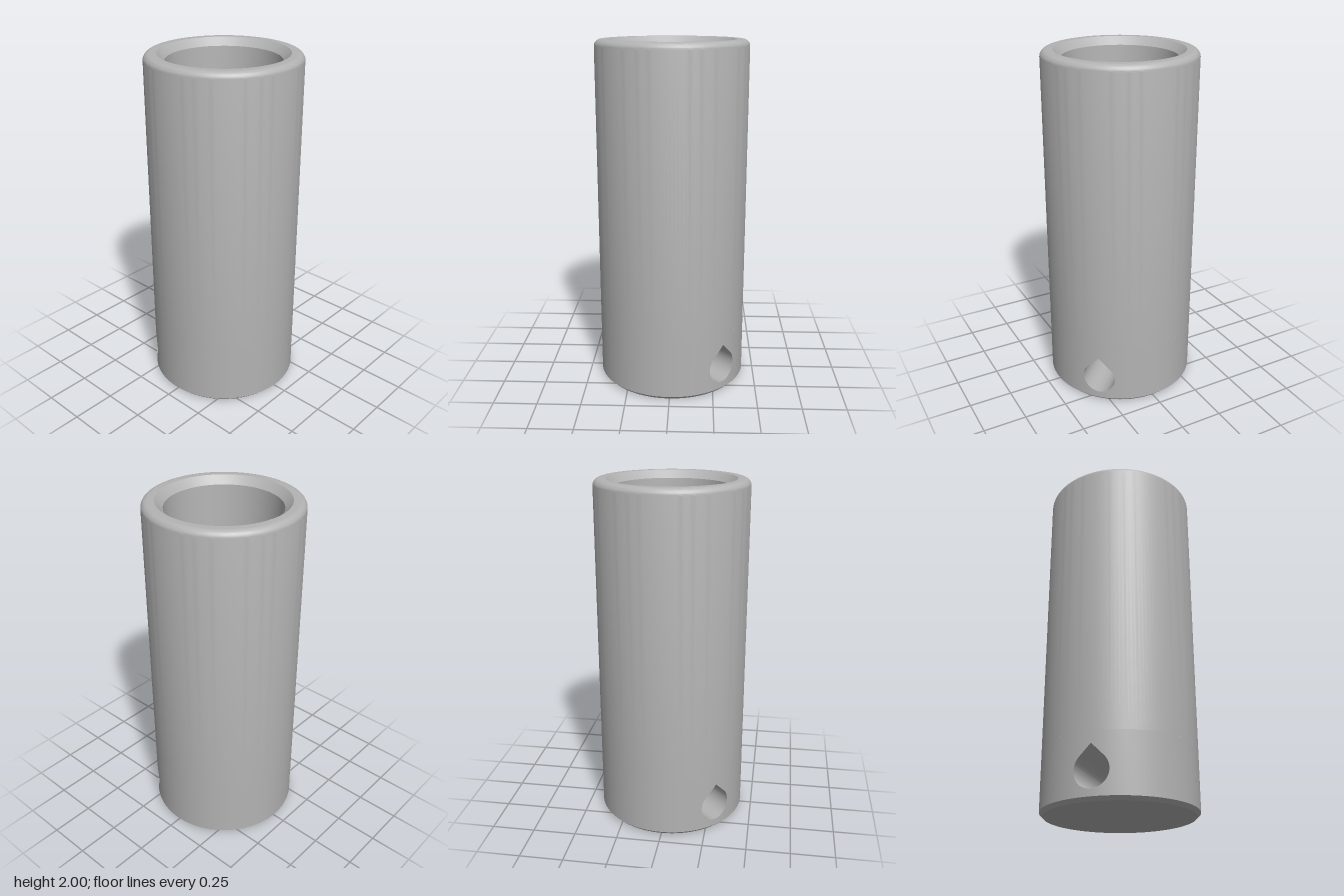
import * as THREE from 'three';
import { toCreasedNormals } from 'three/addons/utils/BufferGeometryUtils.js';

const R = 0.433;             // outer radius
const HOLE_Y = 0.155;        // centre height of the cross hole
const HOLE_R = 0.096;
const BAND = [0.02, 0.355];  // height range of the pierced band
const HALF = 0.45;           // half angle of each pierced patch
const CREASE = 0.5;

// Radius of the teardrop outline in direction a: round below, 45 degree roof above
function teardrop(a) {
  if (a > Math.PI / 4 && a <= Math.PI / 2) return HOLE_R / Math.cos(a - Math.PI / 4);
  if (a > Math.PI / 2 && a < Math.PI * 0.75) return HOLE_R / Math.cos(a - Math.PI * 0.75);
  return HOLE_R;
}

// Surface from fn(angle, t), wrapped around the hole axis
function ringGrid(fn, nu, nv) {
  const pos = [], idx = [];
  for (let v = 0; v <= nv; v++) {
    for (let u = 0; u <= nu; u++) pos.push(...fn((u / nu) * Math.PI * 2, v / nv));
  }
  for (let v = 0; v < nv; v++) {
    for (let u = 0; u < nu; u++) {
      const a = v * (nu + 1) + u, b = a + 1, d = a + nu + 1, c = d + 1;
      idx.push(a, d, b, b, d, c);
    }
  }
  const g = new THREE.BufferGeometry();
  g.setAttribute('position', new THREE.Float32BufferAttribute(pos, 3));
  g.setIndex(idx);
  g.computeVertexNormals();
  return g;
}

// Piece of outer wall around one hole mouth, wrapped on the cylinder
function patchGeometry() {
  const g = ringGrid((a, t) => {
    const r = teardrop(a), c = Math.cos(a), s = Math.sin(a);
    const k = 1 / Math.max(Math.abs(c), Math.abs(s));
    const rise = s > 0 ? BAND[1] - HOLE_Y : HOLE_Y - BAND[0];
    const theta = THREE.MathUtils.lerp(Math.asin((r * c) / R), k * c * HALF, t);
    const y = HOLE_Y + THREE.MathUtils.lerp(r * s, k * s * rise, t);
    return [R * Math.sin(theta), y, R * Math.cos(theta)];
  }, 96, 6);
  const p = g.attributes.position, n = g.attributes.normal;
  for (let i = 0; i < p.count; i++) n.setXYZ(i, p.getX(i) / R, 0, p.getZ(i) / R);
  return g;
}

// Straight teardrop passage from one side to the other
function tunnelGeometry() {
  const g = ringGrid((a, t) => {
    const r = teardrop(a), x = r * Math.cos(a);
    return [x, HOLE_Y + r * Math.sin(a), (t * 2 - 1) * Math.sqrt(R * R - x * x)];
  }, 96, 1);
  return toCreasedNormals(g, CREASE);
}

function lathe(points, segments = 128, start = 0, length = Math.PI * 2) {
  const pts = points.map(([x, y]) => new THREE.Vector2(x, y));
  return new THREE.LatheGeometry(pts, segments, start, length);
}

export function createModel() {
  const model = new THREE.Group();
  model.name = 'sleeve';
  const grey = new THREE.MeshStandardMaterial({ color: 0xb3b3b3 });
  grey.name = 'plain grey';

  const add = (name, geometry, turn = 0) => {
    const mesh = new THREE.Mesh(geometry, grey);
    mesh.name = name;
    mesh.rotation.y = turn;
    model.add(mesh);
  };

  // Flat base with a small chamfer
  add('base', toCreasedNormals(lathe([[0, 0], [0.413, 0], [R, BAND[0]]]), CREASE));

  // Lower band: two plain arcs and two pierced patches on the diagonal
  for (const turn of [Math.PI / 4, Math.PI * 1.25]) {
    add('lowerWall', lathe([[R, BAND[0]], [R, BAND[1]]], 48, HALF, Math.PI - 2 * HALF), turn);
    add('holeSurround', patchGeometry(), turn);
  }
  add('crossHole', tunnelGeometry(), Math.PI / 4);

  // Main wall, rounded rim, lead-in chamfer, tapered bore and conical floor
  const profile = [[R, BAND[1]]];
  const fillet = 0.038;
  for (let i = 0; i <= 8; i++) {
    const a = (i / 8) * Math.PI / 2;
    profile.push([R - fillet + fillet * Math.cos(a), 2 - fillet + fillet * Math.sin(a)]);
  }
  profile.push([0.36, 2], [0.318, 1.957], [0.247, 0.5], [0.02, 0.365], [0, 0.365]);
  add('wallAndBore', toCreasedNormals(lathe(profile), CREASE));

  return model;
}
